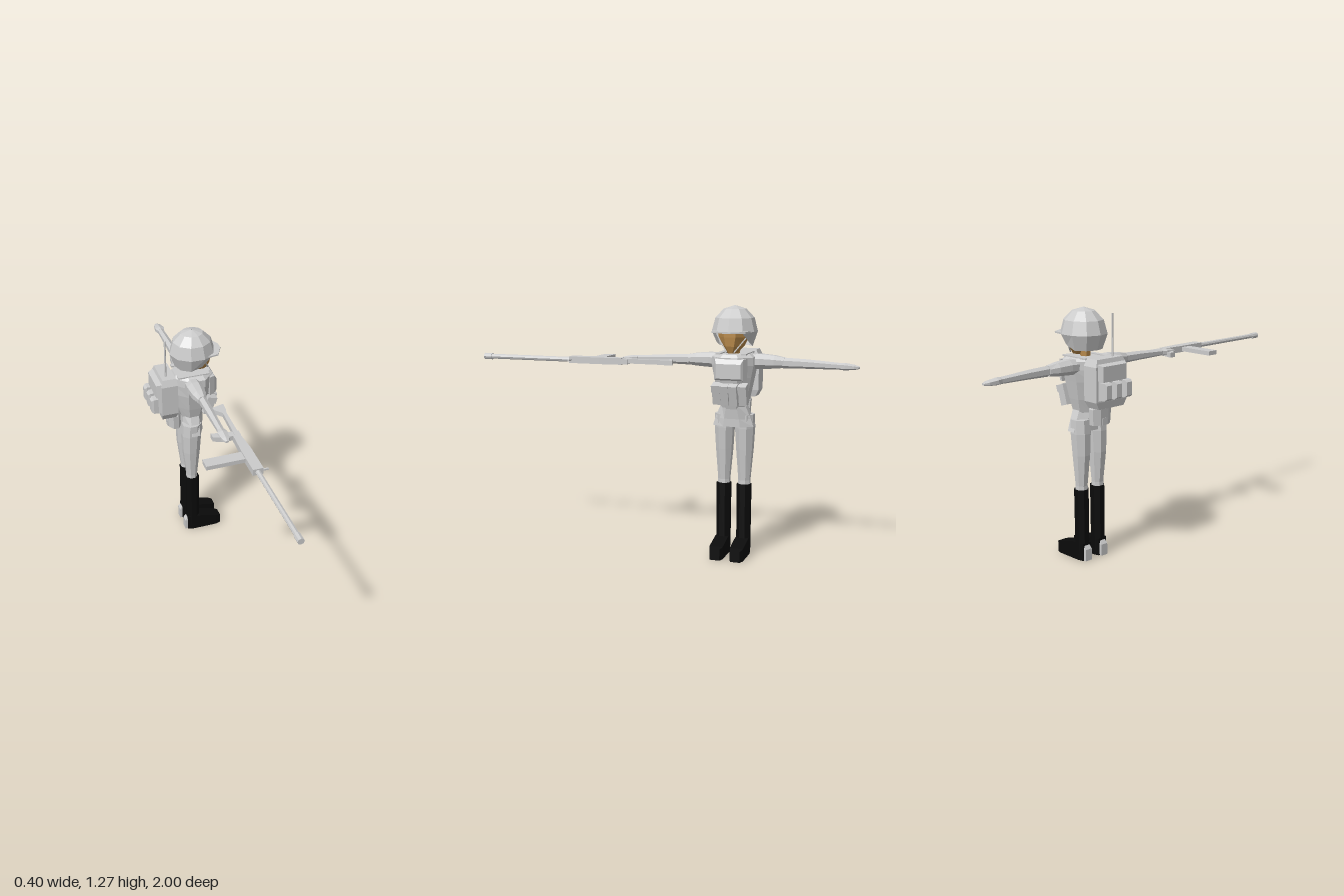
import * as THREE from 'three';

const mat = (color) => new THREE.MeshStandardMaterial({ color, flatShading: true, side: THREE.DoubleSide });
const grey = mat(0xcccccc), skin = mat(0xb98a4a), black = mat(0x0b0b0b);

function add(parent, name, geo, material = grey) {
  const m = new THREE.Mesh(geo, material);
  m.name = name;
  parent.add(m);
  return m;
}

function box(parent, name, size, pos, tilt = 0, material = grey) {
  const m = add(parent, name, new THREE.BoxGeometry(...size), material);
  m.position.set(...pos);
  m.rotation.z = tilt;
  return m;
}

// Skin n-sided sections [t, u, v, ru, rv] along an axis: y -> (x,z), z -> (x,y), x -> (y,z)
function loft(axis, n, sections, capped = true) {
  const place = {
    y: (t, u, v) => [u, t, v],
    z: (t, u, v) => [u, v, t],
    x: (t, u, v) => [t, u, v],
  }[axis];
  const k = 1 / Math.cos(Math.PI / n), pos = [], idx = [];
  for (const [t, u, v, ru, rv] of sections)
    for (let i = 0; i < n; i++) {
      const a = ((i + 0.5) / n) * Math.PI * 2;
      pos.push(...place(t, u + ru * k * Math.cos(a), v + rv * k * Math.sin(a)));
    }
  return skinRings(pos, idx, n, sections.length, capped);
}

// Join rings into faces, turned outward by the sign of the enclosed volume
function skinRings(pos, idx, n, rows, capped) {
  for (let r = 0; r < rows - 1; r++)
    for (let i = 0; i < n; i++) {
      const a = r * n + i, b = r * n + (i + 1) % n;
      idx.push(a, b, b + n, a, b + n, a + n);
    }
  if (capped)
    for (let i = 1; i < n - 1; i++) {
      const e = (rows - 1) * n;
      idx.push(0, i + 1, i, e, e + i, e + i + 1);
    }
  const p = (i) => new THREE.Vector3().fromArray(pos, idx[i] * 3);
  const c = new THREE.Vector3();
  for (let i = 0; i < pos.length; i += 3) c.add(new THREE.Vector3().fromArray(pos, i));
  c.divideScalar(pos.length / 3);
  let vol = 0;
  for (let i = 0; i < idx.length; i += 3) vol += p(i).sub(c).dot(p(i + 1).sub(c).cross(p(i + 2).sub(c)));
  if (vol < 0) idx.reverse();
  const g = new THREE.BufferGeometry();
  g.setAttribute('position', new THREE.Float32BufferAttribute(pos, 3));
  g.setIndex(idx);
  const flat = g.toNonIndexed();
  flat.computeVertexNormals();
  return flat;
}

// Flat outline in x,z given a thickness in y
function slab(points, top, depth) {
  const s = new THREE.Shape(points.map(([x, z]) => new THREE.Vector2(x, z)));
  return new THREE.ExtrudeGeometry(s, { depth, bevelEnabled: false }).rotateX(Math.PI / 2).translate(0, top, 0);
}

function rod(parent, name, a, b, r, sides = 6, material = grey) {
  const from = new THREE.Vector3(...a), d = new THREE.Vector3(...b).sub(from);
  const m = add(parent, name, new THREE.CylinderGeometry(r, r, d.length(), sides), material);
  m.position.copy(from).addScaledVector(d, 0.5);
  m.quaternion.setFromUnitVectors(new THREE.Vector3(0, 1, 0), d.normalize());
  return m;
}

function buildLimbs(body) {
  for (const s of [1, -1]) {
    const z = s * 0.053;
    add(body, 'leg', loft('y', 8, [
      [0.36, 0.022, z, 0.03, 0.03], [0.39, 0.022, z, 0.029, 0.029], [0.55, 0.02, z, 0.046, 0.041],
      [0.66, 0.022, z, 0.052, 0.047], [0.73, 0.025, z, 0.05, 0.045]]));
    add(body, 'bootShaft', loft('y', 8, [
      [0.03, 0.025, z, 0.035, 0.034], [0.37, 0.025, z, 0.036, 0.035]]), black);
    add(body, 'bootFoot', loft('x', 4, [
      [-0.01, 0.045, z, 0.045, 0.026], [0.02, 0.045, z, 0.045, 0.034], [0.06, 0.045, z, 0.045, 0.034],
      [0.16, 0.032, z, 0.032, 0.034], [0.186, 0.028, z, 0.028, 0.025]]), black);
    add(body, 'heelGuard', loft('y', 4, [
      [0, -0.013, z, 0.011, 0.02], [0.06, -0.013, z, 0.011, 0.02], [0.08, -0.005, z, 0.004, 0.016]]));

    // Arm stretched sideways, thin forearm and mitten hand
    add(body, 'sleeve', loft('z', 8, [
      [s * 0.08, 0.022, 0.994, 0.04, 0.036], [s * 0.13, 0.022, 0.997, 0.042, 0.037],
      [s * 0.20, 0.022, 0.996, 0.036, 0.032], [s * 0.25, 0.023, 0.994, 0.022, 0.025]]));
    add(body, 'forearm', loft('z', 6, [
      [s * 0.24, 0.026, 0.993, 0.02, 0.023], [s * 0.36, 0.027, 0.992, 0.019, 0.02],
      [s * 0.53, 0.028, 0.987, 0.016, 0.014]]));
    add(body, 'hand', loft('z', 6, [
      [s * 0.52, 0.028, 0.987, 0.018, 0.015], [s * 0.545, 0.028, 0.987, 0.026, 0.016],
      [s * 0.59, 0.028, 0.985, 0.02, 0.011], [s * 0.615, 0.028, 0.984, 0.008, 0.005]]));
  }
}

function buildTorso(body) {
  add(body, 'torso', loft('y', 8, [
    [0.76, 0.04, 0, 0.058, 0.062], [0.83, 0.04, 0, 0.079, 0.078], [0.92, 0.04, 0, 0.1, 0.095],
    [0.98, 0.043, 0, 0.104, 0.107], [1.02, 0.045, 0, 0.104, 0.106], [1.035, 0.042, 0, 0.095, 0.085]]));
  add(body, 'jacketSkirt', loft('y', 8, [
    [0.67, 0.036, 0, 0.054, 0.105], [0.71, 0.037, 0, 0.054, 0.092], [0.785, 0.042, 0, 0.058, 0.06]]));
  add(body, 'chestPanel', loft('x', 4, [
    [0.12, 0.962, 0, 0.055, 0.085], [0.15, 0.962, 0, 0.052, 0.072], [0.163, 0.955, 0, 0.036, 0.062]]));

  // Ammunition pouches lean out with the chest
  for (const z of [-0.067, -0.022, 0.022, 0.067]) {
    const lean = -0.28, out = Math.abs(z) > 0.05 ? 0 : 0.014;
    box(body, 'chestPouch', [0.045, 0.1, 0.04], [0.118 + out, 0.838, z], lean);
    box(body, 'pouchFlap', [0.052, 0.035, 0.043], [0.131 + out, 0.872, z], lean);
  }
  for (const s of [1, -1])
    box(body, 'shoulderStrap', [0.17, 0.008, 0.025], [0.035, 1.036, s * 0.065]);
}

function buildPack(body) {
  add(body, 'packBody', loft('y', 4, [
    [0.805, -0.106, 0, 0.038, 0.08], [0.84, -0.104, 0, 0.044, 0.098],
    [1.01, -0.104, 0, 0.044, 0.098], [1.045, -0.102, 0, 0.036, 0.082]]));
  add(body, 'packBackPanel', loft('x', 4, [
    [-0.14, 0.935, 0, 0.09, 0.09], [-0.172, 0.935, 0, 0.08, 0.075]]));
  for (const z of [-0.065, 0, 0.065]) {
    add(body, 'packPouch', loft('x', 4, [
      [-0.165, 0.897, z, 0.043, 0.023], [-0.19, 0.897, z, 0.042, 0.022], [-0.202, 0.897, z, 0.032, 0.016]]));
  }
  rod(body, 'antenna', [-0.11, 1.03, 0.043], [-0.11, 1.252, 0.043], 0.005);
  add(body, 'hipBag', loft('y', 8, [
    [0.71, -0.06, 0, 0.034, 0.055], [0.79, -0.063, 0, 0.035, 0.06], [0.81, -0.065, 0, 0.028, 0.05]]));
  box(body, 'hipBagBuckle', [0.018, 0.035, 0.03], [-0.089, 0.728, 0]);
}

function buildHead(body) {
  add(body, 'neck', loft('y', 6, [[1.01, 0.04, 0, 0.022, 0.022], [1.08, 0.04, 0, 0.024, 0.024]]), skin);
  add(body, 'face', loft('y', 8, [
    [1.04, 0.09, 0, 0.035, 0.022], [1.075, 0.07, 0, 0.068, 0.05],
    [1.12, 0.062, 0, 0.08, 0.07], [1.18, 0.06, 0, 0.082, 0.078]]), skin);

  // Helmet dome whose rim is high over the face and low behind the ears
  const n = 10, pos = [];
  for (const [y, r] of [[1.272, 0.002], [1.255, 0.06], [1.212, 0.103], [1.145, 0.122], [1.07, 0.095]])
    for (let i = 0; i < n; i++) {
      const a = (i / n) * Math.PI * 2, c = Math.cos(a), rim = y < 1.1;
      const drop = rim && c > 0.5 ? 1.14 : rim && c > 0 ? 1.09 : y;
      const rr = rim && c > 0.5 ? 0.12 : r;
      pos.push(0.048 + rr * c, drop, rr * 0.93 * Math.sin(a));
    }
  add(body, 'helmet', skinRings(pos, [], n, 5, false));
  add(body, 'helmetBrim', slab([
    [0.1, -0.095], [0.165, -0.085], [0.198, -0.02], [0.198, 0.02], [0.165, 0.085], [0.1, 0.095]], 1.15, 0.008));
  for (const s of [1, -1])
    rod(body, 'chinStrap', [0.085, 1.135, s * 0.083], [0.128, 1.045, s * 0.018], 0.004, 4);
}

function buildRifle(rifle) {
  const y = 0.976;
  rod(rifle, 'barrel', [0.088, y, 0.47], [0.088, y, 0.96], 0.013, 8);
  rod(rifle, 'muzzle', [0.088, y, 0.955], [0.088, y, 1.0], 0.017, 8);
  // Receiver narrows backward into the stock and butt
  add(rifle, 'receiver', slab([
    [0.062, 0.49], [0.115, 0.49], [0.115, 0.32], [0.105, 0.2], [0.068, 0.2], [0.062, 0.34]], 0.994, 0.034));
  add(rifle, 'stock', slab([
    [0.078, 0.21], [0.102, 0.21], [0.105, 0.0], [0.112, -0.025], [0.116, -0.08],
    [0.045, -0.06], [0.048, -0.045], [0.086, 0.0]], 0.992, 0.024));
  box(rifle, 'magazine', [0.2, 0.022, 0.06], [-0.032, y, 0.36]);
  add(rifle, 'pistolGrip', slab([
    [-0.028, 0.145], [0.03, 0.16], [0.11, 0.165], [0.11, 0.2], [0.03, 0.2], [-0.028, 0.18]], 0.99, 0.026));
  box(rifle, 'frontSight', [0.035, 0.008, 0.008], [0.127, y, 0.48]);
}

export function createModel() {
  const model = new THREE.Group();
  model.name = 'soldier';
  const body = new THREE.Group();
  body.name = 'body';
  body.position.z = -0.385;
  const rifle = new THREE.Group();
  rifle.name = 'rifle';
  model.add(body, rifle);
  buildLimbs(body);
  buildTorso(body);
  buildPack(body);
  buildHead(body);
  buildRifle(rifle);
  return model;
}
